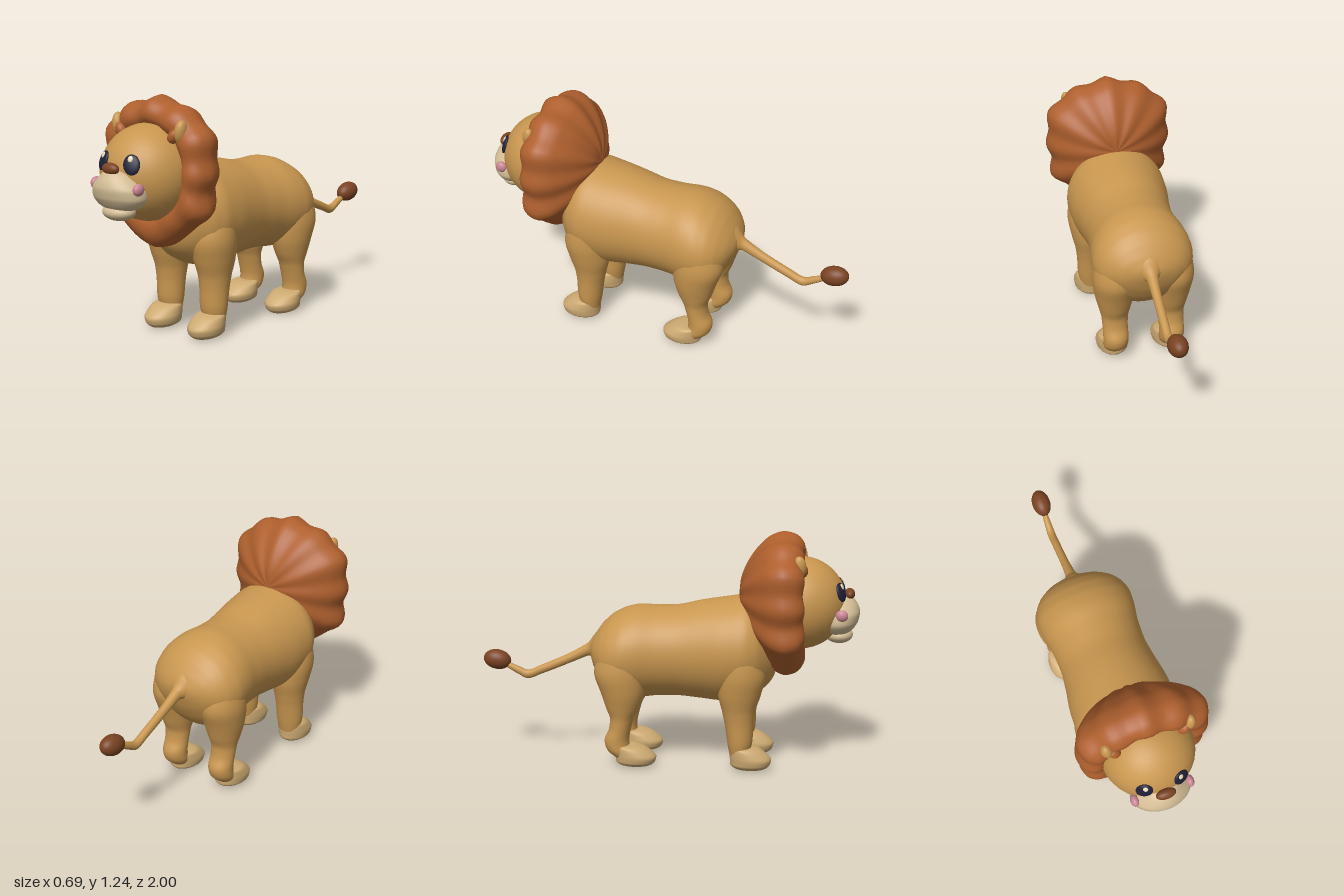
import * as THREE from 'three';

const mat = (name, color) => {
  const m = new THREE.MeshStandardMaterial({ color });
  m.name = name;
  return m;
};

// Smooth skin through elliptical sections [cx, cy, cz, ra, rb], ascending along axis 'y' or 'z'.
function loft(sections, axis, steps = 40, sides = 40) {
  const centres = new THREE.CatmullRomCurve3(sections.map(s => new THREE.Vector3(s[0], s[1], s[2])));
  const radii = new THREE.CatmullRomCurve3(sections.map(s => new THREE.Vector3(s[3], s[4], 0)));
  return skin(steps, sides, (t, a) => {
    const c = centres.getPoint(t), r = radii.getPoint(t);
    const ra = Math.max(r.x, 0.001), rb = Math.max(r.y, 0.001);
    return axis === 'z'
      ? [c.x + ra * Math.cos(a), c.y + rb * Math.sin(a), c.z]
      : [c.x + ra * Math.sin(a), c.y, c.z + rb * Math.cos(a)];
  });
}

// Closed-ring surface from a point rule.
function skin(steps, sides, rule) {
  const pos = [], idx = [];
  for (let i = 0; i <= steps; i++) {
    for (let j = 0; j < sides; j++) {
      pos.push(...rule(i / steps, (j / sides) * Math.PI * 2));
      if (i === steps) continue;
      const k = (j + 1) % sides;
      const a = i * sides + j, b = i * sides + k, c = a + sides, d = b + sides;
      idx.push(a, b, d, a, d, c);
    }
  }
  const g = new THREE.BufferGeometry();
  g.setAttribute('position', new THREE.Float32BufferAttribute(pos, 3));
  g.setIndex(idx);
  g.computeVertexNormals();
  return g;
}

export function createModel() {
  const tan = mat('tan fur', 0xc8964f);
  const maneBrown = mat('mane brown', 0xae5f2d);
  const darkBrown = mat('dark brown', 0x7a4322);
  const pawCream = mat('paw cream', 0xcdaa72);
  const muzzleCream = mat('muzzle cream', 0xd2bc94);
  const navy = mat('eye navy', 0x1e2038);
  const pink = mat('cheek pink', 0xc98592);
  const shine = mat('eye shine', 0xe8dcb4);

  const lion = new THREE.Group();
  lion.name = 'lion';
  const add = (name, geo, material) => {
    const m = new THREE.Mesh(geo, material);
    m.name = name;
    lion.add(m);
    return m;
  };
  const ball = (name, material, p, s) => {
    const m = add(name, new THREE.SphereGeometry(1, 32, 24), material);
    m.position.set(...p);
    m.scale.set(...s);
    return m;
  };

  // Body: [z, top, bottom, half width]
  const body = [
    [-0.412, 0.615, 0.6, 0.004], [-0.405, 0.64, 0.56, 0.07], [-0.38, 0.69, 0.49, 0.15],
    [-0.34, 0.745, 0.42, 0.21], [-0.29, 0.79, 0.365, 0.248], [-0.22, 0.825, 0.345, 0.265],
    [-0.15, 0.84, 0.345, 0.26], [-0.05, 0.838, 0.357, 0.243], [0.05, 0.842, 0.36, 0.238],
    [0.18, 0.87, 0.35, 0.25], [0.3, 0.89, 0.34, 0.27], [0.4, 0.905, 0.35, 0.275],
    [0.48, 0.88, 0.385, 0.245], [0.54, 0.8, 0.44, 0.17], [0.57, 0.66, 0.5, 0.08], [0.578, 0.6, 0.58, 0.004],
  ].map(([z, top, bottom, w]) => [0, (top + bottom) / 2, z, w, (top - bottom) / 2]);
  add('body', loft(body, 'z', 70, 48), tan);

  // Legs and paws, mirrored: [y, z, half width, half depth, x]
  const frontLeg = [
    [0.04, 0.39, 0.05, 0.04], [0.15, 0.395, 0.074, 0.066], [0.25, 0.39, 0.078, 0.075],
    [0.32, 0.387, 0.086, 0.087], [0.4, 0.39, 0.105, 0.11], [0.5, 0.4, 0.122, 0.122],
    [0.6, 0.4, 0.115, 0.1], [0.68, 0.4, 0.002, 0.002],
  ];
  const hindLeg = [
    [0.035, -0.2, 0.045, 0.045], [0.09, -0.243, 0.066, 0.064], [0.14, -0.254, 0.067, 0.065],
    [0.2, -0.237, 0.067, 0.058], [0.26, -0.226, 0.071, 0.063], [0.32, -0.222, 0.086, 0.089],
    [0.4, -0.222, 0.105, 0.115], [0.5, -0.235, 0.116, 0.135], [0.6, -0.23, 0.1, 0.12], [0.68, -0.23, 0.002, 0.002],
  ];
  const paw = [
    [0.004, 0, 0.002, 0.002], [0.008, 0, 0.05, 0.075], [0.03, 0, 0.081, 0.104],
    [0.06, 0.002, 0.087, 0.108], [0.09, -0.012, 0.084, 0.096], [0.115, -0.03, 0.077, 0.076],
    [0.126, -0.048, 0.06, 0.052], [0.128, -0.05, 0.002, 0.002],
  ];
  for (const [side, s] of [['left', 1], ['right', -1]]) {
    const limb = (rows, dz = 0, h = 1) =>
      loft(rows.map(([y, z, rx, rz]) => [s * 0.152, y * h, z + dz, rx, rz]), 'y');
    add(side + 'FrontLeg', limb(frontLeg), tan);
    add(side + 'HindLeg', limb(hindLeg), tan);
    add(side + 'FrontPaw', limb(paw, 0.45), pawCream);
    add(side + 'HindPaw', limb(paw, -0.155, 0.92), pawCream);
  }

  // Tail with tuft
  add('tail', loft([
    [0, 0.505, -0.89, 0.014, 0.015], [0, 0.465, -0.81, 0.019, 0.022], [0, 0.445, -0.76, 0.022, 0.024],
    [0, 0.475, -0.68, 0.022, 0.025], [0, 0.535, -0.54, 0.023, 0.027], [0, 0.59, -0.43, 0.03, 0.035],
    [0, 0.612, -0.39, 0.065, 0.065], [0, 0.615, -0.36, 0.1, 0.09],
  ], 'z', 50, 20), tan);
  ball('tailTuft', darkBrown, [0, 0.522, -0.925], [0.05, 0.053, 0.075]).rotation.x = 0.18;

  // Mane: lumpy outline radius by angle from the top, swept over a domed profile (radius factor, z)
  const outline = [0.37, 0.347, 0.37, 0.362, 0.383, 0.342, 0.347, 0.328, 0.376, 0.352, 0.354, 0.375, 0.39];
  const radiusCurve = new THREE.CatmullRomCurve3(outline.map((r, i) => new THREE.Vector3(i, r, 0)));
  const profile = new THREE.CatmullRomCurve3([
    [0.003, 0.375], [0.3, 0.388], [0.58, 0.43], [0.8, 0.485], [0.94, 0.54], [1, 0.6],
    [0.965, 0.655], [0.86, 0.695], [0.72, 0.705], [0.58, 0.68],
  ].map(([r, z]) => new THREE.Vector3(r, z, 0)));
  add('mane', skin(48, 96, (t, a) => {
    const p = profile.getPoint(t);
    const fold = a > Math.PI ? 2 * Math.PI - a : a;
    const lumpy = radiusCurve.getPoint(fold / Math.PI).y;
    const r = p.x * THREE.MathUtils.lerp(0.365, lumpy, p.x);
    const low = (1 - Math.cos(a)) / 2;
    const wave = 0.012 * Math.cos(12 * a) * (1 - low * 0.6) * p.x * (t > 0.5 ? 1 : -1) * Math.abs(2 * t - 1);
    // angle runs clockwise from the top, mirrored here to keep faces outward
    return [-r * Math.sin(a), 0.87 + 0.03 * (1 - p.x) + r * Math.cos(a), p.y + wave + 0.02 * low * p.x];
  }), maneBrown);

  // Head
  const centre = new THREE.Vector3(0, 0.87, 0.69);
  ball('head', tan, centre.toArray(), [0.24, 0.24, 0.24]);
  add('muzzle', loft([
    [0, 0.707, 0.88, 0.002, 0.002], [0, 0.715, 0.88, 0.07, 0.055], [0, 0.74, 0.88, 0.13, 0.088],
    [0, 0.78, 0.88, 0.157, 0.112], [0, 0.82, 0.88, 0.153, 0.12], [0, 0.86, 0.88, 0.12, 0.112],
    [0, 0.9, 0.88, 0.075, 0.085], [0, 0.925, 0.88, 0.002, 0.03],
  ], 'y'), muzzleCream);
  ball('chin', muzzleCream, [0, 0.706, 0.895], [0.09, 0.044, 0.072]);
  ball('nose', darkBrown, [0, 0.92, 0.945], [0.052, 0.029, 0.027]);

  // Flattened discs laid on the head surface
  const onHead = (name, material, x, y, w, h, depth, lift, tilt = 0) => {
    const dx = x, dy = y - centre.y;
    const n = new THREE.Vector3(dx, dy, Math.sqrt(0.0576 - dx * dx - dy * dy)).normalize();
    const m = ball(name, material, centre.clone().addScaledVector(n, 0.24 + lift).toArray(), [w, h, depth]);
    m.lookAt(m.position.clone().add(n));
    m.rotateZ(tilt);
  };
  for (const [side, s] of [['left', 1], ['right', -1]]) {
    onHead(side + 'Eye', navy, s * 0.095, 0.943, 0.042, 0.05, 0.014, 0.001, s * 0.2);
    onHead(side + 'EyeShine', shine, s * 0.087, 0.966, 0.013, 0.016, 0.006, 0.013);
    ball(side + 'Cheek', pink, [s * 0.145, 0.83, 0.905], [0.022, 0.03, 0.032]);
    const ear = ball(side + 'Ear', tan, [s * 0.212, 1.085, 0.685], [0.03, 0.058, 0.036]);
    ear.rotation.z = -s * 0.15;
    const tuft = ball(side + 'EarTuft', maneBrown, [s * 0.178, 1.062, 0.7], [0.028, 0.04, 0.03]);
    tuft.rotation.z = -s * 0.6;
  }
  return lion;
}
